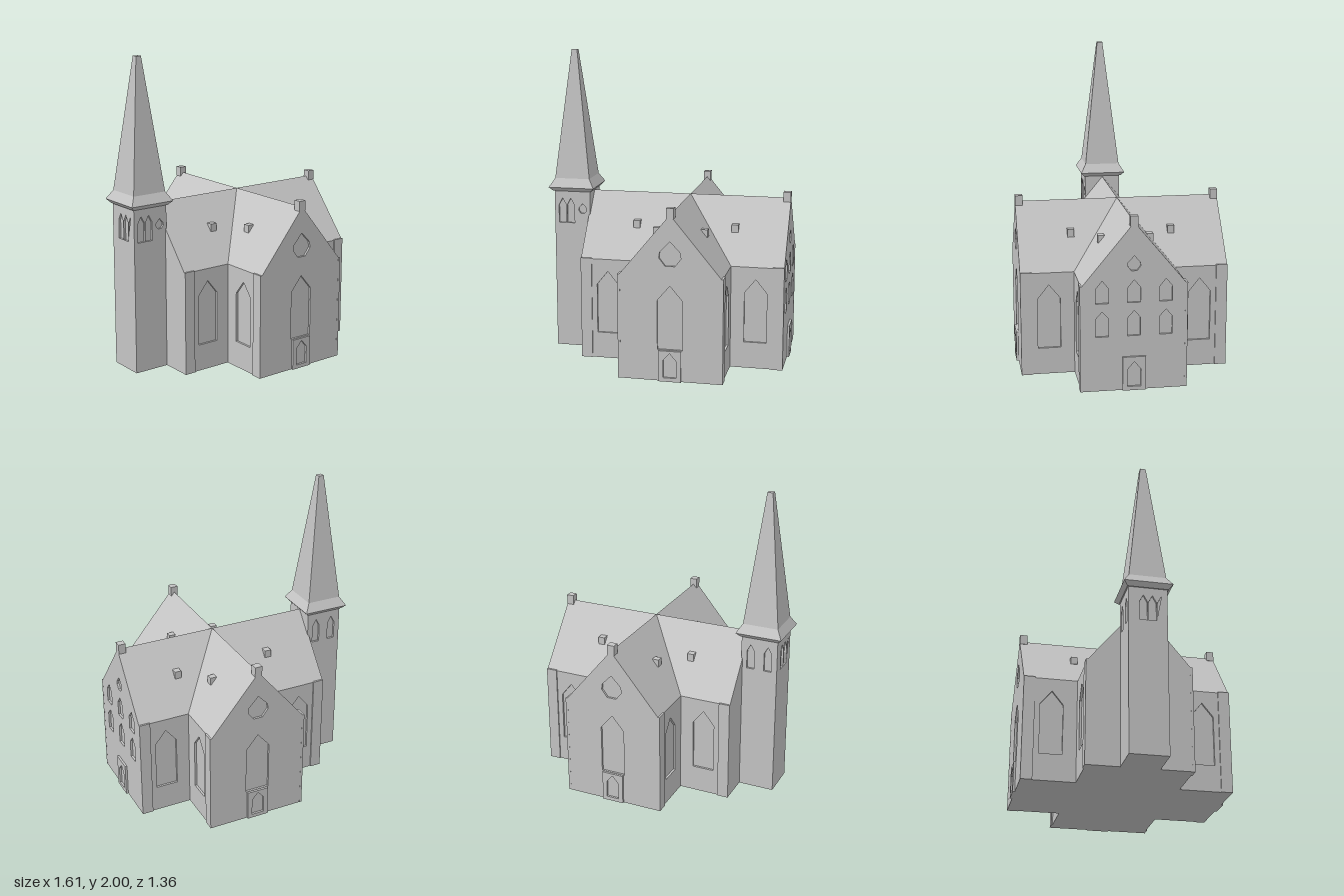
import * as THREE from 'three';

const stone = new THREE.MeshStandardMaterial({ color: 0xc4c4c4 });
stone.name = 'stone grey';

const CX = 0.122;                 // centre of the cross plan
const H = 0.325, L = 0.665;       // half width and length of an arm
const EAVE = 0.67, RIDGE = 1.063; // roof heights
const T = 0.014;                  // wall skin thickness, also the window recess

function add(parent, name, geometry, x = 0, y = 0, z = 0) {
  const mesh = new THREE.Mesh(geometry, stone);
  mesh.name = name;
  mesh.position.set(x, y, z);
  parent.add(mesh);
  return mesh;
}

const box = (w, h, d) => new THREE.BoxGeometry(w, h, d);
const poly = (pts) => pts.map(([x, y]) => new THREE.Vector2(x, y));

// Pointed window outline
const lancet = (x, y0, y1, w, spring) => poly([
  [x - w / 2, y0], [x + w / 2, y0], [x + w / 2, spring], [x, y1], [x - w / 2, spring],
]);

// Rounded window with a pointed top
function teardrop(x, y0, y1, w) {
  const h = y1 - y0;
  return poly([[-0.22, 0], [0.22, 0], [0.5, 0.32], [0.47, 0.56], [0, 1], [-0.47, 0.56], [-0.5, 0.32]]
    .map(([u, v]) => [x + u * w, y0 + v * h]));
}

// Wall skin with openings
function skin(outline, openings = [], depth = T) {
  const shape = new THREE.Shape(poly(outline));
  openings.forEach((o) => shape.holes.push(new THREE.Path(o)));
  return new THREE.ExtrudeGeometry(shape, { depth, bevelEnabled: false });
}

const rect = (x0, x1, y0, y1) => [[x0, y0], [x1, y0], [x1, y1], [x0, y1]];
const gableOutline = [[-H, 0], [H, 0], [H, EAVE], [0, RIDGE], [-H, EAVE]];

// Openings in the main gables and in the many-windowed gable
const mainGable = [lancet(0, 0.203, 0.615, 0.16, 0.52), teardrop(0, 0.74, 0.895, 0.138)];
const windowGable = [teardrop(0, 0.762, 0.855, 0.08)];
for (const x of [-0.197, 0, 0.197]) {
  windowGable.push(lancet(x, 0.35, 0.51, 0.08, 0.465), lancet(x, 0.562, 0.705, 0.08, 0.655));
}

// One arm of the cross, pointing along +z
function arm(openings, porchHeight, finial) {
  const g = new THREE.Group();
  const i = H - T;
  add(g, 'armCoreAndRoof', skin([
    [-i, 0], [i, 0], [i, EAVE], [H, EAVE], [0, RIDGE], [-H, EAVE], [-i, EAVE],
  ], [], L - T));
  add(g, 'gableWall', skin(gableOutline, openings), 0, 0, L - T);

  for (const s of [-1, 1]) {
    // Side wall with one tall window
    const wall = add(g, 'sideWall', skin(
      rect(-(L - T), -i, 0, EAVE),
      [lancet(-0.485, 0.173, 0.59, 0.145, 0.5)],
    ));
    if (s > 0) {
      wall.rotation.y = Math.PI / 2;
      wall.position.x = i;
    } else {
      wall.geometry = skin(rect(i, L - T, 0, EAVE), [lancet(0.485, 0.173, 0.59, 0.145, 0.5)]);
      wall.rotation.y = -Math.PI / 2;
      wall.position.x = -i;
    }
    // Corner pilaster
    add(g, 'pilaster', box(0.016, EAVE + 0.005, 0.073), s * H, (EAVE + 0.005) / 2, L - 0.036);
    // Roof vents
    add(g, 'roofVent', box(0.043, 0.05, 0.043), s * 0.155, 0.88, 0.325);
  }

  if (porchHeight) {
    add(g, 'doorSurround', skin(
      rect(-0.072, 0.072, 0, porchHeight),
      [lancet(0, 0.025, 0.185, 0.083, 0.137)],
    ), 0, 0, L);
  }
  if (finial) add(g, 'gableFinial', box(0.048, 0.065, 0.048), 0, 1.07, L - 0.024);
  return g;
}

// Square bell tower with recessed openings
function tower() {
  const g = new THREE.Group();
  const r = 0.121, top = 1.08;
  add(g, 'towerCore', box(2 * (r - T), top, 2 * (r - T)), 0, top / 2, 0);
  const light = (x) => lancet(x, 0.855, 1.022, 0.051, 0.975);
  const faces = [
    [light(-0.068), light(-0.012), teardrop(0.07, 0.922, 0.988, 0.055)],
    [],
    [light(-0.058), light(0.058)],
    [light(-0.084), light(-0.028), light(0.028), light(0.084)],
  ];
  faces.forEach((openings, k) => {
    const w = k % 2 ? r - T : r;
    const face = new THREE.Group();
    face.name = 'towerFace';
    face.rotation.y = k * Math.PI / 2;
    add(face, 'towerWall', skin(rect(-w, w, 0, top), openings), 0, 0, r - T);
    g.add(face);
  });

  // Flared four-sided spire with a small flat tip
  const profile = poly([[0, 1.07], [0.128, 1.07], [0.153, 1.097], [0.117, 1.155], [0.018, 2], [0, 2]]);
  profile.forEach((p) => { p.x *= Math.SQRT2; });
  const spire = new THREE.LatheGeometry(profile, 4, Math.PI / 4).toNonIndexed();
  spire.computeVertexNormals();
  add(g, 'spire', spire);
  return g;
}

export function createModel() {
  const model = new THREE.Group();
  model.name = 'church';

  const arms = [
    ['frontArm', mainGable, 0.2, true],
    ['leftArm', windowGable, 0.217, true],
    ['backArm', mainGable, 0.2, true],
    ['towerArm', [], 0, false],
  ];
  arms.forEach(([name, openings, porch, finial], k) => {
    const a = arm(openings, porch, finial);
    a.name = name;
    a.rotation.y = k * Math.PI / 2;
    a.position.x = CX;
    model.add(a);
  });

  const t = tower();
  t.name = 'bellTower';
  t.position.x = -0.656;
  model.add(t);
  return model;
}
